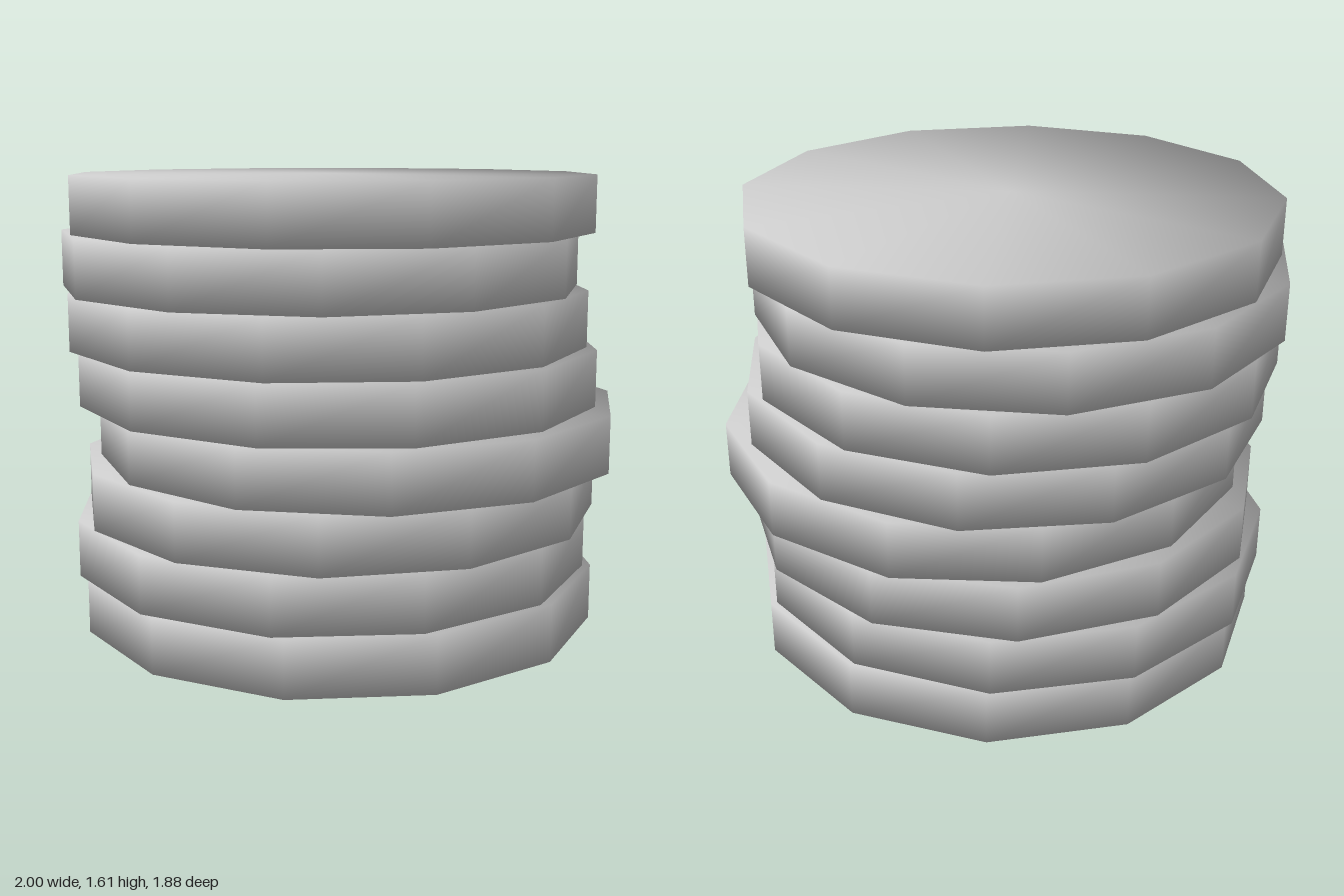
import * as THREE from 'three';

const RADIUS = 0.94;
const HEIGHT = 0.2017;
const SIDES = 12;

// Bottom to top: sideways shift and turn in degrees (from +x towards +z)
const DISCS = [
  [-0.017, -7.3],
  [-0.045, -6.4],
  [-0.012, -13.8],
  [0.063, 7],
  [-0.015, -2.2],
  [-0.055, -6],
  [-0.08, 11.5],
  [-0.037, -6.1],
];

// Twelve-sided disc whose shading rolls softly over the rim
function softDisc() {
  const geometry = new THREE.CylinderGeometry(RADIUS, RADIUS, HEIGHT, SIDES);
  const { position, normal } = geometry.attributes;
  const n = new THREE.Vector3();
  for (let i = 0; i < position.count; i++) {
    n.fromBufferAttribute(position, i);
    const up = Math.sign(n.y);
    n.y = 0;
    n.divideScalar(RADIUS);
    n.y = up * 0.86;
    n.normalize();
    normal.setXYZ(i, n.x, n.y, n.z);
  }
  return geometry;
}

export function createModel() {
  const stack = new THREE.Group();
  stack.name = 'discStack';
  const material = new THREE.MeshStandardMaterial({ color: 0xcccccc });
  const geometry = softDisc();

  // Loosely stacked discs
  DISCS.forEach(([x, turn], i) => {
    const disc = new THREE.Mesh(geometry, material);
    disc.name = `disc${i + 1}`;
    disc.position.set(x, (i + 0.5) * HEIGHT, 0);
    disc.rotation.y = -THREE.MathUtils.degToRad(turn);
    stack.add(disc);
  });
  return stack;
}
